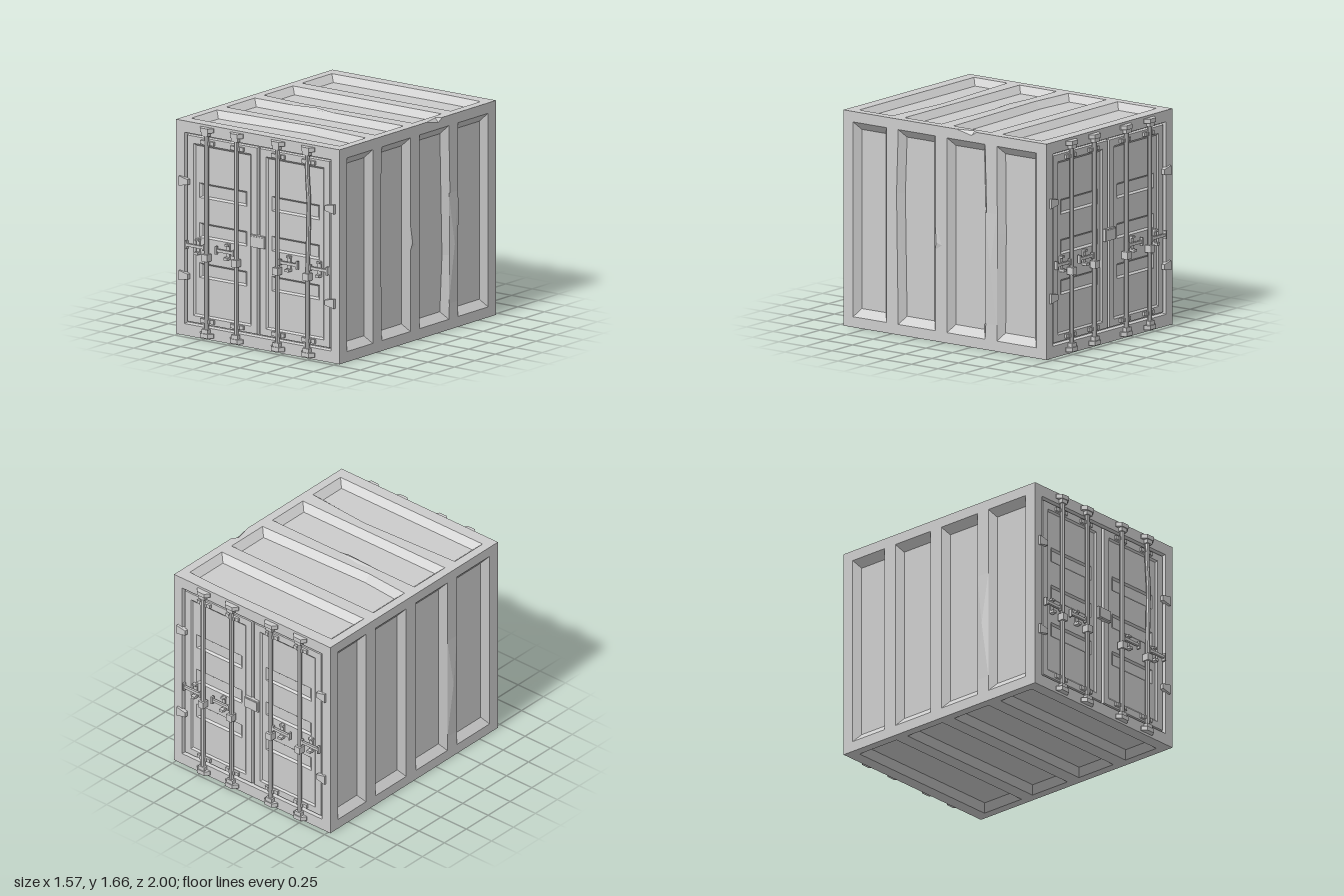
import * as THREE from 'three';

const grey = new THREE.MeshStandardMaterial({ color: 0xcccccc, flatShading: true, side: THREE.DoubleSide });
grey.name = 'containerGrey';

const W = 0.77, H = 1.65, D = 0.957;

function add(parent, name, geo, x = 0, y = 0, z = 0) {
  const m = new THREE.Mesh(geo, grey);
  m.name = name;
  m.position.set(x, y, z);
  parent.add(m);
  return m;
}

// Rectangle, counter-clockwise; bends kink an edge: { l | r | t | b: [position, offset] }
function rect(u0, v0, u1, v1, bend = {}) {
  const p = [[u0, v0]];
  if (bend.b) p.push([bend.b[0], v0 + bend.b[1]]);
  p.push([u1, v0]);
  if (bend.r) p.push([u1 + bend.r[1], bend.r[0]]);
  p.push([u1, v1]);
  if (bend.t) p.push([bend.t[0], v1 + bend.t[1]]);
  p.push([u0, v1]);
  if (bend.l) p.push([u0 + bend.l[1], bend.l[0]]);
  return p;
}

// A recess (or raised field when depth < 0) with sloped walls
function recess(u0, v0, u1, v1, mu, mv, depth, bend, holes = []) {
  return { outer: rect(u0, v0, u1, v1, bend), inner: rect(u0 + mu, v0 + mv, u1 - mu, v1 - mv, bend), depth, holes };
}

// Flat face with nested recesses, built in the xy plane facing +z
function panelFace(outline, holes) {
  const pos = [];
  function fill(contour, list, w) {
    const c = contour.map(p => new THREE.Vector2(...p));
    const h = list.map(r => r.outer.map(p => new THREE.Vector2(...p)));
    const all = [...c, ...h.flat()];
    for (const t of THREE.ShapeUtils.triangulateShape(c, h)) {
      const tri = t.map(i => all[i]);
      if (THREE.ShapeUtils.area(tri) < 0) tri.reverse();
      for (const p of tri) pos.push(p.x, p.y, w);
    }
    for (const r of list) {
      const n = r.outer.length, d = w - r.depth;
      for (let i = 0; i < n; i++) {
        const j = (i + 1) % n, a = r.outer[i], b = r.outer[j], e = r.inner[j], f = r.inner[i];
        pos.push(...a, w, ...b, w, ...e, d, ...a, w, ...e, d, ...f, d);
      }
      fill(r.inner, r.holes, d);
    }
  }
  fill(outline, holes, 0);
  return triangles(pos);
}

function triangles(pos) {
  const g = new THREE.BufferGeometry();
  g.setAttribute('position', new THREE.Float32BufferAttribute(pos, 3));
  g.computeVertexNormals();
  return g;
}

// Shallow dent: a fan from the base outline to one peak
function dent(base, peak) {
  return triangles(base.flatMap((a, i) => [...a, 0, ...base[(i + 1) % base.length], 0, ...peak]));
}

// Prism with an outline in the xz plane, running from y = 0 down to -h
function prismDown(points, h) {
  const s = new THREE.Shape(points.map(p => new THREE.Vector2(...p)));
  return new THREE.ExtrudeGeometry(s, { depth: h, bevelEnabled: false }).rotateX(Math.PI / 2);
}

function lockRod(end, x, s, bent) {
  const rod = new THREE.Group();
  rod.name = 'lockRod';
  rod.position.x = x;
  end.add(rod);
  const pts = [[0, 0.03], [0, 0.7], [0.012, 1.2], [-0.006, 1.45], [0, 1.62]];
  if (bent) {
    const path = new THREE.CurvePath();
    for (let i = 1; i < pts.length; i++)
      path.add(new THREE.LineCurve3(new THREE.Vector3(...pts[i - 1], 0), new THREE.Vector3(...pts[i], 0)));
    add(rod, 'bentBar', new THREE.TubeGeometry(path, 24, 0.018, 8), 0, 0, 0.968);
  } else add(rod, 'bar', new THREE.CylinderGeometry(0.018, 0.018, 1.59, 8), 0, 0.825, 0.968);

  // Keepers on the frame and small guides on the door
  const keeper = [[-0.063, 0.95], [0.063, 0.95], [0.063, 0.963], [0.035, 1], [-0.035, 1], [-0.063, 0.963]];
  for (const top of [true, false]) {
    add(rod, 'keeper', prismDown(keeper, 0.033), 0, top ? 1.632 : 0.052);
    add(rod, 'cam', new THREE.BoxGeometry(0.058, 0.062, 0.04), 0, top ? 1.6 : 0.052, 0.972);
    for (const side of [-1, 1])
      add(rod, 'rodGuide', new THREE.BoxGeometry(0.04, 0.03, 0.025), side * 0.042, top ? 1.512 : 0.14, 0.952);
    add(rod, 'rodGuideStrap', new THREE.BoxGeometry(0.06, 0.03, 0.03), 0, top ? 1.512 : 0.14, 0.957);
  }
  add(rod, 'handleHub', new THREE.BoxGeometry(0.052, 0.056, 0.055), 0, 0.633, 0.971);

  // Handle bar and its catch
  add(rod, 'handleBar', new THREE.BoxGeometry(0.18, 0.022, 0.018), s * 0.1, 0.704, 0.968);
  add(rod, 'handleTip', new THREE.BoxGeometry(0.014, 0.062, 0.026), s * 0.187, 0.704, 0.968);
  add(rod, 'handleCollar', new THREE.BoxGeometry(0.014, 0.045, 0.026), s * 0.025, 0.704, 0.968);
  add(rod, 'catchPlate', new THREE.BoxGeometry(0.03, 0.12, 0.014), s * 0.095, 0.7, 0.941);
  add(rod, 'catchLip', new THREE.BoxGeometry(0.034, 0.02, 0.045), s * 0.095, 0.65, 0.957);
  add(rod, 'catchTop', new THREE.BoxGeometry(0.034, 0.014, 0.03), s * 0.095, 0.752, 0.95);
}

function doorEnd(bent) {
  const end = new THREE.Group();
  end.name = 'doorEnd';

  // Frame > groove > two raised doors > sunken panel > three sunken slots
  const doors = [-1, 1].map(s => {
    const r = (a, b, v0, v1, m, n, d, holes) =>
      recess(Math.min(s * a, s * b), v0, Math.max(s * a, s * b), v1, m, n, d, {}, holes);
    const slots = [0.46, 0.768, 1.075].map(y => r(0.118, 0.566, y, y + 0.114, 0.022, 0.014, 0.016));
    return r(0.006, 0.676, 0.103, 1.549, 0.007, 0.007, -0.02,
      [r(0.07, 0.614, 0.162, 1.487, 0.014, 0.014, 0.012, slots)]);
  });
  const opening = recess(-0.69, 0.09, 0.69, 1.562, 0.008, 0.008, 0.03, {}, doors);
  add(end, 'doorsAndFrame', panelFace(rect(-W, 0, W, H), [opening]), 0, 0, D);

  [-0.474, -0.195, 0.193, 0.478].forEach((x, i) => lockRod(end, x, Math.sign(x), bent && i === 3));

  add(end, 'centreLatch', new THREE.BoxGeometry(0.132, 0.093, 0.03), 0, 0.826, 0.954);
  add(end, 'centreLatchCover', new THREE.BoxGeometry(0.112, 0.073, 0.006), 0, 0.826, 0.97);

  // Tapered hinges
  for (const s of [-1, 1]) for (const y of [1.187, 0.46]) {
    const shape = new THREE.Shape([[0.73, -0.037], [0.73, 0.037], [0.645, 0.02], [0.645, -0.02]]
      .map(p => new THREE.Vector2(s * p[0], p[1])));
    add(end, 'hinge', new THREE.ExtrudeGeometry(shape, { depth: 0.034, bevelEnabled: false }), 0, y, 0.942);
  }
  return end;
}

export function createModel() {
  const model = new THREE.Group();
  model.name = 'cargoContainer';
  model.add(doorEnd(true));
  const back = doorEnd(false);
  back.rotation.y = Math.PI;
  model.add(back);

  // Side walls with four recessed bays; the left one has kinked bays and a notched edge
  const bays = [[-0.866, -0.55], [-0.44, -0.09], [0.02, 0.38], [0.49, 0.862]];
  const kinks = [{}, { l: [1.08, -0.016] }, { r: [0.57, 0.026] }, { l: [0.9, 0.006] }];
  for (const s of [1, -1]) {
    const wall = new THREE.Group();
    wall.name = s > 0 ? 'leftWall' : 'rightWall';
    wall.rotation.y = s * Math.PI / 2;
    wall.position.x = s * W;
    model.add(wall);
    const outline = rect(-D, 0, D, H);
    if (s > 0) outline.splice(2, 0 + 1, [D, H], [0.3, H], [0.25, 1.62], [0.11, H]);
    add(wall, 'wallPanels', panelFace(outline, bays.map(([a, b], i) =>
      recess(a, 0.08, b, 1.57, 0.045, 0.06, 0.05, s > 0 ? kinks[i] : {}))));
    // Slightly bulged post
    add(wall, 'bulgedPost', dent([[0.38, 0.2], [0.49, 0.2], [0.49, 1.05], [0.38, 1.05]], [0.435, 0.65, 0.014]));
    if (s > 0) add(wall, 'wallDent', dent([[-0.09, 0.7], [-0.03, 0.74], [-0.09, 0.9]], [-0.075, 0.76, 0.01]));
  }

  // Roof
  const roof = new THREE.Group();
  roof.name = 'roof';
  roof.rotation.x = -Math.PI / 2;
  roof.position.y = H;
  model.add(roof);
  const roofOutline = [[-W, -D], [W, -D], [W, 0.11], [0.735, 0.26], [W, 0.3], [W, D], [-W, D]];
  const roofBays = [
    [0.492, 0.858, { t: [0.3, 0.01] }], [0.028, 0.382, { b: [-0.33, -0.028] }],
    [-0.432, -0.085, {}], [-0.862, -0.548, { t: [0.16, 0.042] }]];
  add(roof, 'roofPanels', panelFace(roofOutline, roofBays.map(([a, b, k]) =>
    recess(-0.7, a, 0.7, b, 0.055, 0.052, 0.05, k))));
  add(roof, 'roofDent', dent([[-0.38, -0.083], [-0.05, -0.1], [0.05, -0.083], [-0.17, -0.05]], [-0.12, -0.075, 0.012]));
  // Crushed corner between roof and left wall
  const A = [W, 0.11, 0], B = [W, 0.3, 0], C = [0.735, 0.26, 0], E = [W, 0.25, -0.03];
  add(roof, 'edgeDent', triangles([...A, ...E, ...C, ...B, ...C, ...E]));

  // Underside
  const floor = add(model, 'floorPanels', panelFace(rect(-W, -D, W, D),
    [[-0.86, -0.49], [-0.38, -0.03], [0.085, 0.43], [0.55, 0.86]].map(([a, b]) =>
      recess(-0.7, a, 0.7, b, 0.055, 0.052, 0.05, {}))));
  floor.rotation.x = Math.PI / 2;
  return model;
}
